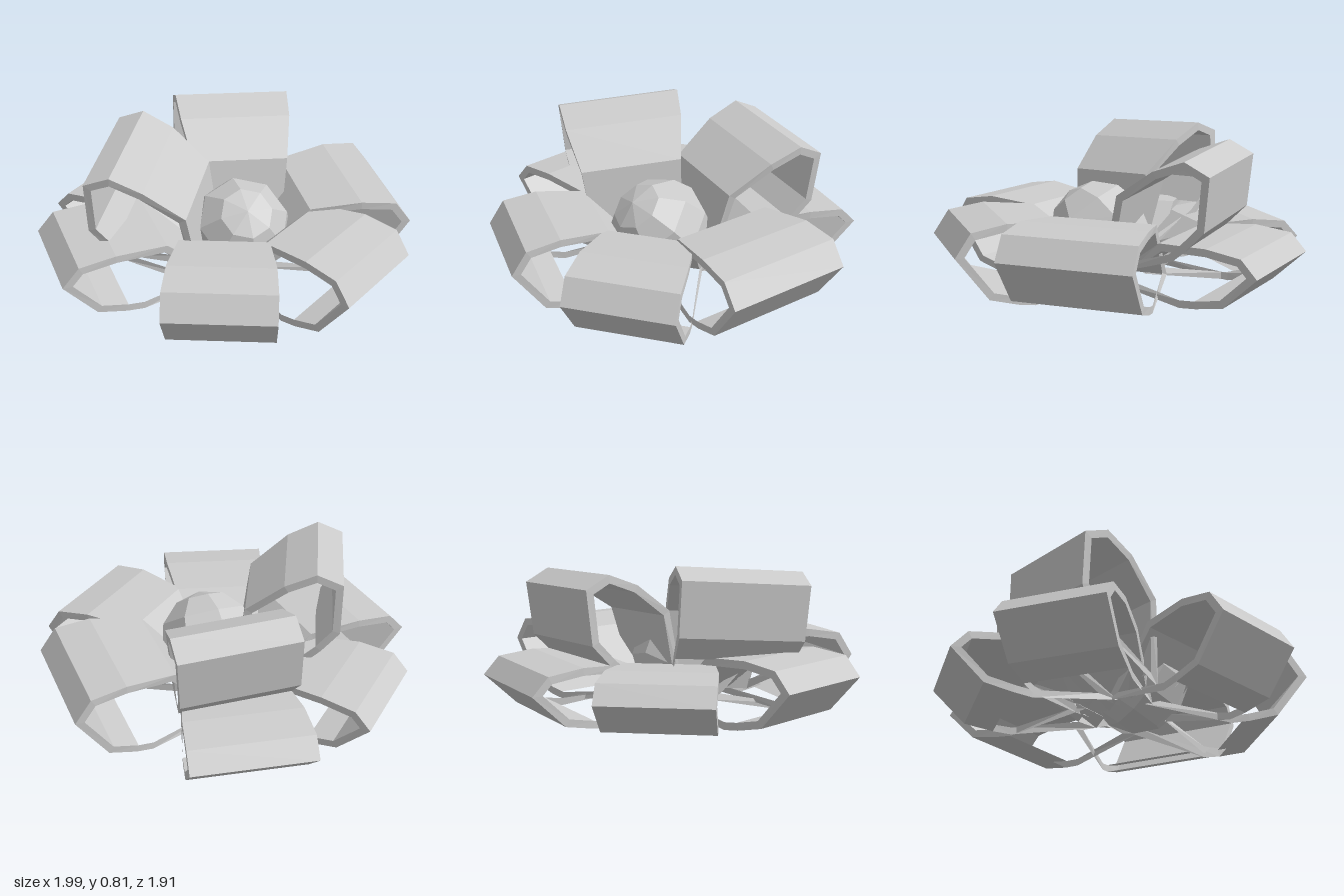
import * as THREE from 'three';

const material = new THREE.MeshStandardMaterial({
  color: 0xcccccc, flatShading: true, side: THREE.DoubleSide,
});

// Teardrop outline of a ribbon loop: [distance from knot, height, relative width]
const PROFILE = [
  [0.08, 0.01, 0.7], [0.51, -0.075, 0.9], [0.6, -0.06, 0.94], [0.745, -0.02, 0.98],
  [0.91, 0.2, 1], [0.83, 0.32, 1], [0.65, 0.35, 0.96], [0.39, 0.33, 0.82],
];
const OPEN_EDGES = 2; // the first edges, under the loop, keep only their rims
const THICKNESS = 0.038;

// Offset a counter-clockwise outline inward, with limited mitres
function inset(points, t) {
  return points.map((p, i) => {
    const n = points.length;
    const normal = (a, b) => new THREE.Vector2(a.y - b.y, b.x - a.x).normalize();
    const n1 = normal(points[(i + n - 1) % n], p);
    const n2 = normal(p, points[(i + 1) % n]);
    const m = n1.clone().add(n2).normalize();
    return p.clone().addScaledVector(m, t / Math.max(m.dot(n1), 0.3));
  });
}

// Thick band: outer and inner outlines swept across the width, open underneath
function loopGeometry(width, length, height) {
  const outer = PROFILE.map(([x, y]) => new THREE.Vector2(x * length, y * height));
  const inner = inset(outer, THICKNESS);
  const ring = (pts, side) => pts.map((p, i) => [p.x, p.y, side * PROFILE[i][2] * width / 2]);
  const rings = [ring(outer, -1), ring(outer, 1), ring(inner, 1), ring(inner, -1)];
  const positions = [];
  for (let k = 0; k < 4; k++) {
    const from = rings[k], to = rings[(k + 1) % 4];
    const isPanel = k % 2 === 0;
    for (let i = isPanel ? OPEN_EDGES : 0; i < from.length; i++) {
      const j = (i + 1) % from.length;
      positions.push(...from[i], ...from[j], ...to[j], ...from[i], ...to[j], ...to[i]);
    }
  }
  const geometry = new THREE.BufferGeometry();
  geometry.setAttribute('position', new THREE.Float32BufferAttribute(positions, 3));
  geometry.computeVertexNormals();
  return geometry;
}

// dir: heading in x and z; tilt and roll in degrees; shift: sideways offset
const LOOPS = [
  { name: 'frontLoop', dir: [0.27, 0.96], width: 0.56, shift: -0.025 },
  { name: 'leftLoop', dir: [0.92, 0.387], width: 0.67, length: 1.01, tilt: 2, shift: -0.07 },
  { name: 'frontRightLoop', dir: [-0.64, 0.77], width: 0.55, length: 0.97 },
  { name: 'rightLoop', dir: [-0.957, -0.29], width: 0.55, length: 1.05, height: 0.83, tilt: 1.5 },
  { name: 'backRightLoop', dir: [-0.337, -0.94], width: 0.56, length: 1.02, height: 0.74 },
  { name: 'backLeftLoop', dir: [0.547, -0.837], width: 0.62, length: 1.04, height: 0.74, shift: 0.03 },
  { name: 'upperRightLoop', dir: [-0.66, -0.75], width: 0.64, length: 0.97, tilt: 35, roll: -4, shift: -0.13 },
  { name: 'upperLeftLoop', dir: [0.48, -0.877], width: 0.61, length: 0.98, tilt: 30, roll: 2, shift: 0.075 },
];

export function createModel() {
  const model = new THREE.Group();
  model.name = 'giftBow';

  // Ribbon loops around the knot
  for (const { name, dir, width, length = 1, height = 1, tilt = 0, roll = 0, shift = 0 } of LOOPS) {
    const geometry = loopGeometry(width, length, height).translate(0, 0, shift);
    const loop = new THREE.Mesh(geometry, material);
    loop.name = name;
    loop.position.y = 0.08;
    loop.rotation.order = 'YXZ';
    loop.rotation.set(
      THREE.MathUtils.degToRad(roll),
      Math.atan2(-dir[1], dir[0]),
      THREE.MathUtils.degToRad(tilt),
    );
    model.add(loop);
  }

  // Faceted centre knot
  const knot = new THREE.Mesh(new THREE.SphereGeometry(0.268, 8, 6), material);
  knot.name = 'centreKnot';
  knot.position.set(0.015, 0.28, 0.083);
  knot.rotation.set(0.5, 0.5, 0.3);
  model.add(knot);

  return model;
}
